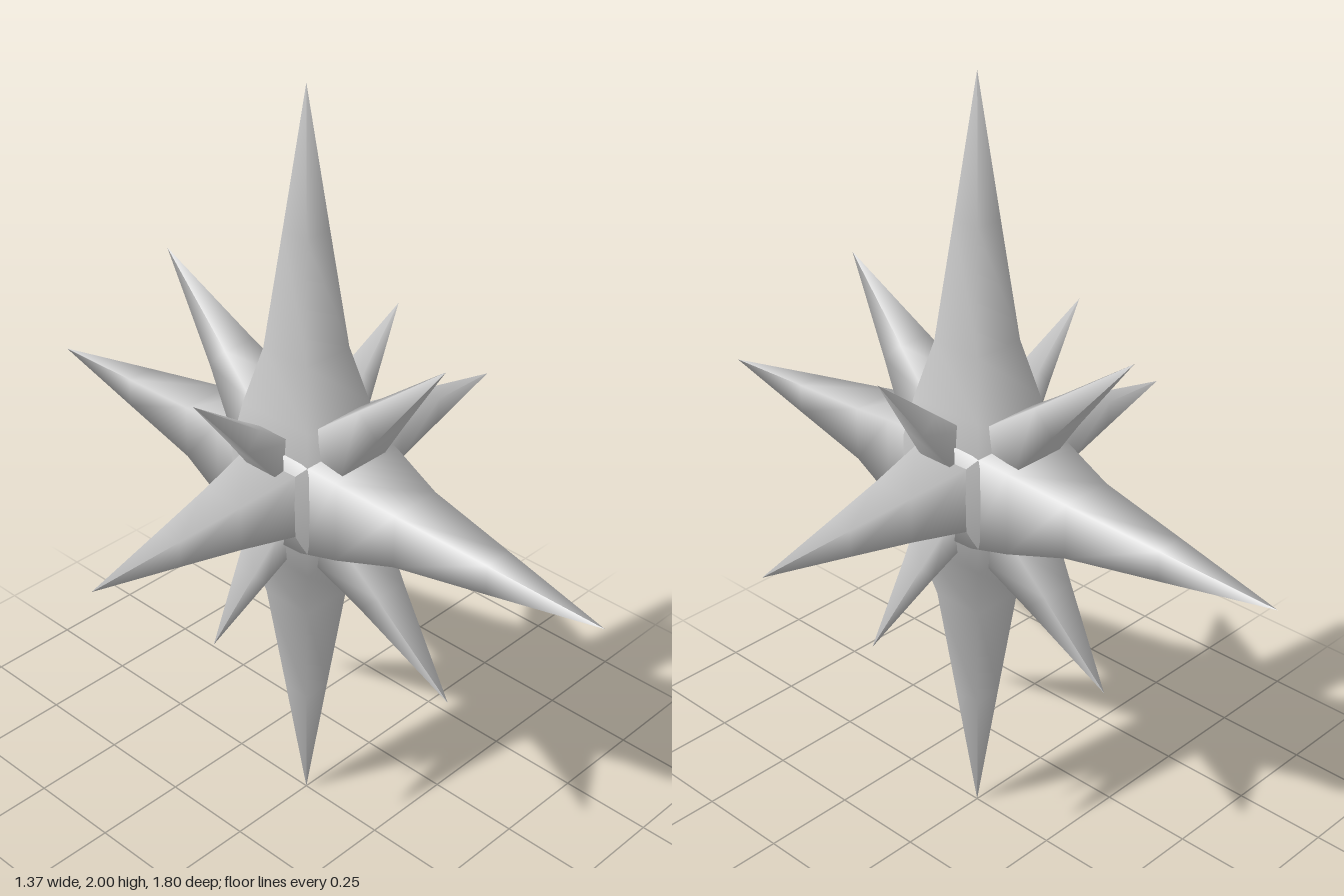
import * as THREE from 'three';

const material = new THREE.MeshStandardMaterial({ color: 0xcccccc });

// Double-ended, square-section spike along y.
// half: [distance from centre, half width] pairs from the middle to the tip.
function spindle(name, half, depthScale = 1) {
  const upper = half.map(([d, w]) => new THREE.Vector2(w * Math.SQRT2, d));
  const lower = half.slice(1).reverse().map(([d, w]) => new THREE.Vector2(w * Math.SQRT2, -d));
  const geometry = new THREE.LatheGeometry([...lower, ...upper], 4, Math.PI / 4);
  geometry.scale(1, 1, depthScale);
  const mesh = new THREE.Mesh(geometry, material);
  mesh.name = name;
  return mesh;
}

export function createModel() {
  const group = new THREE.Group();
  group.name = 'spikedStar';

  // Main spikes along the three axes
  const broad = [[0, 0.127], [0.1, 0.125], [0.2, 0.107], [0.35, 0.071]];
  const vertical = spindle('verticalSpikes', [...broad, [0.65, 0.038], [1, 0]]);
  const frontBack = spindle('frontBackSpikes', [...broad, [0.6, 0.039], [0.9, 0]]);
  frontBack.rotation.x = Math.PI / 2;
  const side = spindle('sideSpikes', [[0, 0.09], [0.12, 0.086], [0.28, 0.059], [0.45, 0.034], [0.685, 0]]);
  side.rotation.z = Math.PI / 2;
  group.add(vertical, frontBack, side);

  // Larger diagonal spikes, leaning forward and back
  for (const [z, y] of [[0.425, 0.45], [-0.475, 0.445]]) {
    const spike = spindle('forwardDiagonalSpikes',
      [[0, 0.08], [0.2, 0.075], [0.35, 0.047], [Math.hypot(z, y), 0]], 0.85);
    spike.rotation.x = Math.atan2(z, y);
    group.add(spike);
  }

  // Smaller diagonal spikes, leaning left and right
  for (const [x, y] of [[-0.362, 0.34], [0.322, 0.345]]) {
    const spike = spindle('sideDiagonalSpikes',
      [[0, 0.05], [0.17, 0.047], [0.28, 0.03], [Math.hypot(x, y), 0]]);
    spike.rotation.z = Math.atan2(-x, y);
    group.add(spike);
  }

  group.children.forEach((spike) => { spike.position.y = 1; });
  return group;
}
